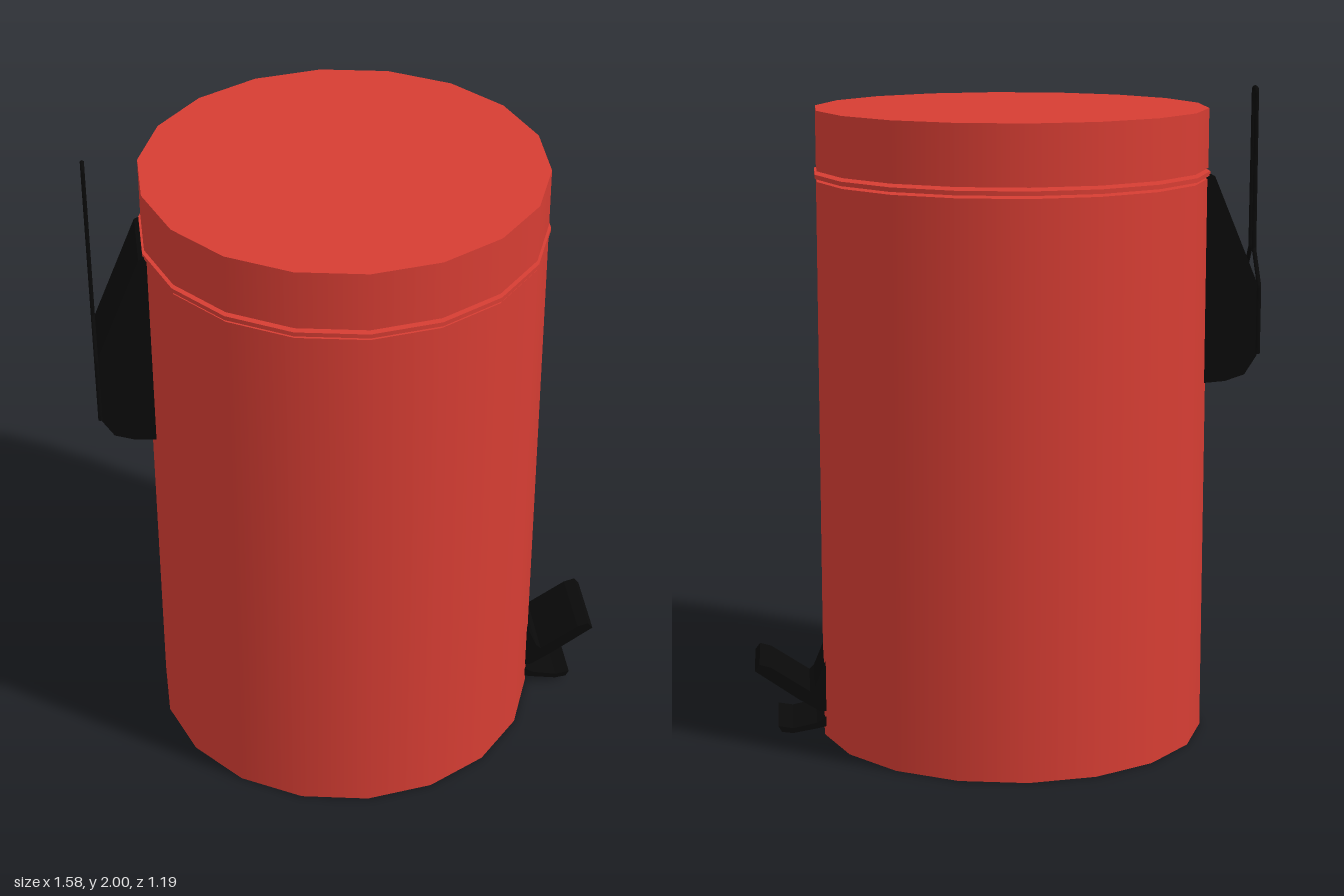
import * as THREE from 'three';

const RED = new THREE.MeshStandardMaterial({ color: 0xd63d33 });
const BLACK = new THREE.MeshStandardMaterial({ color: 0x0a0a0a });
const SIDES = 18;
const WIDTH = 0.236; // shared width of the latch housing and the pedal

function part(name, geometry, material, parent) {
  const mesh = new THREE.Mesh(geometry, material);
  mesh.name = name;
  parent.add(mesh);
  return mesh;
}

// Closed drum between two heights
function drum(name, radius, bottom, top, parent) {
  const mesh = part(name, new THREE.CylinderGeometry(radius, radius, top - bottom, SIDES), RED, parent);
  mesh.position.y = (bottom + top) / 2;
}

// Side profile [distance from axis, height] extruded to a centred width
function profile(name, points, parent) {
  const shape = new THREE.Shape(points.map(([u, y]) => new THREE.Vector2(u, y)));
  const geometry = new THREE.ExtrudeGeometry(shape, { depth: WIDTH, bevelEnabled: false });
  geometry.translate(0, 0, -WIDTH / 2);
  part(name, geometry, BLACK, parent);
}

export function createModel() {
  const model = new THREE.Group();
  model.name = 'pedalBin';

  // The whole bin is turned so the fittings sit on facet centres
  const bin = new THREE.Group();
  bin.name = 'bin';
  bin.position.x = -0.03;
  bin.rotation.y = Math.PI / 18;
  model.add(bin);

  // Body, rim and lid, separated by hairline gaps
  drum('body', 0.6, 0, 1.728, bin);
  drum('rim', 0.606, 1.737, 1.75, bin);
  drum('lid', 0.6, 1.76, 1.94, bin);

  // Foot pedal with its lower rest
  const pedal = new THREE.Group();
  pedal.name = 'pedal';
  bin.add(pedal);
  profile('pedalPlate', [
    [0.585, 0.08], [0.605, 0.08], [0.67, 0.12], [0.805, 0.215],
    [0.79, 0.235], [0.755, 0.225], [0.635, 0.145], [0.62, 0.16], [0.585, 0.245],
  ], pedal);
  profile('pedalRest', [
    [0.58, 0.032], [0.61, 0.025], [0.69, 0.011], [0.725, 0.016],
    [0.735, 0.035], [0.69, 0.027], [0.615, 0.043], [0.58, 0.065],
  ], pedal);

  // Hinge housing on the opposite side
  const hinge = new THREE.Group();
  hinge.name = 'hinge';
  hinge.rotation.y = Math.PI;
  bin.add(hinge);
  profile('hingeHousing', [
    [0.585, 1.1], [0.65, 1.105], [0.71, 1.125], [0.748, 1.185],
    [0.748, 1.4], [0.61, 1.735], [0.585, 1.745],
  ], hinge);

  // Wire loop: spreads to the housing's edges at the bottom
  const half = [[0.122, 1.19], [0.122, 1.4], [0.03, 1.5], [0.024, 1.985], [0.016, 1.993]];
  const points = [
    ...half.map(([z, y]) => new THREE.Vector3(0.75, y, z)),
    ...half.slice().reverse().map(([z, y]) => new THREE.Vector3(0.75, y, -z)),
  ];
  const path = new THREE.CurvePath();
  for (let i = 1; i < points.length; i++) path.add(new THREE.LineCurve3(points[i - 1], points[i]));
  part('wireLoop', new THREE.TubeGeometry(path, 160, 0.007, 6), BLACK, hinge);

  return model;
}
